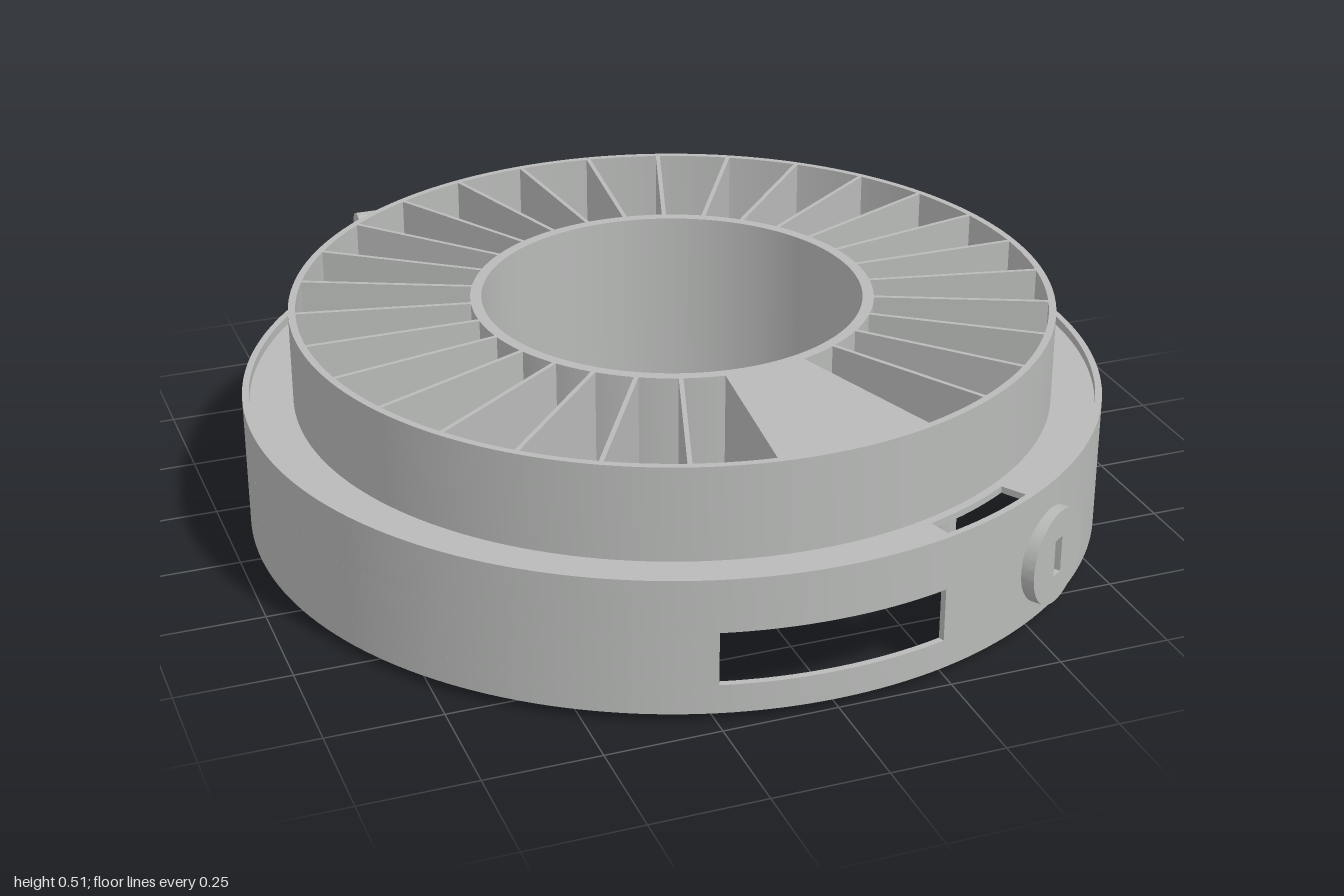
import * as THREE from 'three';
import { toCreasedNormals } from 'three/addons/utils/BufferGeometryUtils.js';

const D = Math.PI / 180;
const grey = new THREE.MeshStandardMaterial({ color: 0xb8bab8 });
grey.name = 'grey plastic';

// Angles are in degrees, measured from the front (+z) towards +x.
const toShape = (a) => (a - 90) * D;

function sectorPath(path, r0, r1, a0, a1) {
  path.absarc(0, 0, r1, toShape(a0), toShape(a1), false);
  path.absarc(0, 0, r0, toShape(a1), toShape(a0), true);
  path.closePath();
  return path;
}

function ringShape(r0, r1) {
  const shape = new THREE.Shape().absarc(0, 0, r1, 0, Math.PI * 2, false);
  shape.holes.push(new THREE.Path().absarc(0, 0, r0, 0, Math.PI * 2, true));
  return shape;
}

function extrude(shape, depth, curveSegments = 96) {
  const geo = new THREE.ExtrudeGeometry(shape, { depth, bevelEnabled: false, curveSegments });
  return toCreasedNormals(geo, 0.5);
}

// Extrude a plan outline upwards from y0 to y1
const slab = (shape, y0, y1, seg) =>
  extrude(shape, y1 - y0, seg).rotateX(-Math.PI / 2).translate(0, y0, 0);

export function createModel() {
  const model = new THREE.Group();
  model.name = 'rotaryTrayDispenser';
  const body = new THREE.Group();
  body.name = 'body';
  body.position.z = 0.0375;
  model.add(body);

  const add = (name, geo, parent = body) => {
    const mesh = new THREE.Mesh(geo, grey);
    mesh.name = name;
    parent.add(mesh);
    return mesh;
  };
  const sector = (r0, r1, a0, a1) => sectorPath(new THREE.Shape(), r0, r1, a0, a1);

  // Housing wall with the front window
  const R = 0.96, Ri = 0.945, win = Math.asin(0.245 / R) / D;
  add('housingWallLower', slab(ringShape(Ri, R), 0.02, 0.085));
  add('housingWallMiddle', slab(sector(Ri, R, win, 360 - win), 0.085, 0.205));
  add('housingWallUpper', slab(ringShape(Ri, R), 0.205, 0.325));

  // Deck plate with the outlet slot
  const deck = ringShape(0.43, 0.95);
  deck.holes.push(sectorPath(new THREE.Path(), 0.867, 0.935, 17, 32));
  add('deckPlate', slab(deck, 0.29, 0.305));

  // Tray: two walls, solid section and radial dividers
  const top = 0.515;
  add('trayOuterWall', slab(ringShape(0.832, 0.848), 0.3, top));
  add('trayInnerWall', slab(ringShape(0.423, 0.448), 0.06, top));
  add('traySolidSection', slab(sector(0.44, 0.84, -6, 18), 0.3, top));
  for (let a = 30; a <= 342; a += 12) {
    const g = new THREE.BoxGeometry(0.01, top - 0.3, 0.394);
    g.translate(0, (top + 0.3) / 2, 0.64).rotateY(a * D);
    add('trayDivider', g);
  }

  // Hub below the deck and its toothed ring
  add('hub', slab(ringShape(0.43, 0.455), 0.1, 0.29));
  const teeth = 100, gear = new THREE.Shape();
  for (let i = 0; i < teeth; i++) {
    [[0, 0.495], [0.3, 0.495], [0.42, 0.52], [0.88, 0.52]].forEach(([f, r], k) => {
      const a = ((i + f) / teeth) * Math.PI * 2;
      const p = [r * Math.cos(a), r * Math.sin(a)];
      if (i + k === 0) gear.moveTo(...p); else gear.lineTo(...p);
    });
  }
  gear.closePath();
  gear.holes.push(new THREE.Path().absarc(0, 0, 0.428, 0, Math.PI * 2, true));
  for (let i = 0; i < 3; i++) {
    const a = (i * 120 + 12) * D;
    gear.holes.push(new THREE.Path().absarc(0.465 * Math.cos(a), 0.465 * Math.sin(a), 0.012, 0, Math.PI * 2, true));
  }
  add('gearRing', slab(gear, 0.05, 0.11, 64));
  for (const a of [90, 210, 330]) {
    const g = new THREE.BoxGeometry(0.014, 0.08, 0.014);
    add('hubKey', g.translate(0, 0.095, 0.42).rotateY(a * D));
  }

  // Four hollow posts that the housing stands on
  for (const x of [-0.455, 0.455]) for (const z of [-0.455, 0.455]) {
    add('post', slab(ringShape(0.018, 0.042), 0, 0.292, 24).translate(x, 0, z));
  }

  // Hinge tabs and barrels at the back
  for (const s of [-1, 1]) {
    const x0 = s > 0 ? 0.17 : -0.468, x1 = x0 + 0.298, r = 0.95, back = 0.99;
    const tab = new THREE.Shape();
    tab.moveTo(x1, back);
    tab.lineTo(x0, back);
    tab.absarc(0, 0, r, Math.acos(x0 / r), Math.acos(x1 / r), true);
    tab.closePath();
    add('hingeTab', slab(tab, 0.265, 0.325, 24));
    const barrel = extrude(ringShape(0.017, 0.037), 0.298, 32).rotateY(Math.PI / 2);
    add('hingeBarrel', barrel.translate(x0, 0.345, -1.0));
  }

  // Lock: slotted face, barrel and cam
  const lock = new THREE.Group();
  lock.name = 'lock';
  lock.rotation.y = 35 * D;
  lock.position.y = 0.155;
  body.add(lock);
  const face = new THREE.Shape().absarc(0, 0, 0.107, 0, Math.PI * 2, false);
  face.holes.push(new THREE.Path([[-0.015, -0.042], [-0.015, 0.042], [0.015, 0.042], [0.015, -0.042]]
    .map(([x, y]) => new THREE.Vector2(x, y))).closePath());
  add('lockFace', extrude(face, 0.015, 48).translate(0, 0, 0.969), lock);
  add('lockBacking', new THREE.CylinderGeometry(0.107, 0.107, 0.015, 48).rotateX(Math.PI / 2).translate(0, 0, 0.962), lock);
  add('lockBarrel', new THREE.CylinderGeometry(0.05, 0.05, 0.07, 32).rotateX(Math.PI / 2).translate(0, 0, 0.925), lock);
  add('lockCam', new THREE.BoxGeometry(0.12, 0.05, 0.015).translate(-0.05, 0, 0.895), lock);

  // Small bracket under the deck behind the window
  const bracket = new THREE.Group();
  bracket.name = 'bracket';
  bracket.rotation.y = 8 * D;
  body.add(bracket);
  add('bracketFloor', new THREE.BoxGeometry(0.18, 0.015, 0.14).translate(0, 0.19, 0.7), bracket);
  for (const x of [-0.085, 0.085]) {
    add('bracketSide', new THREE.BoxGeometry(0.014, 0.13, 0.14).translate(x, 0.23, 0.7), bracket);
  }
  return model;
}
